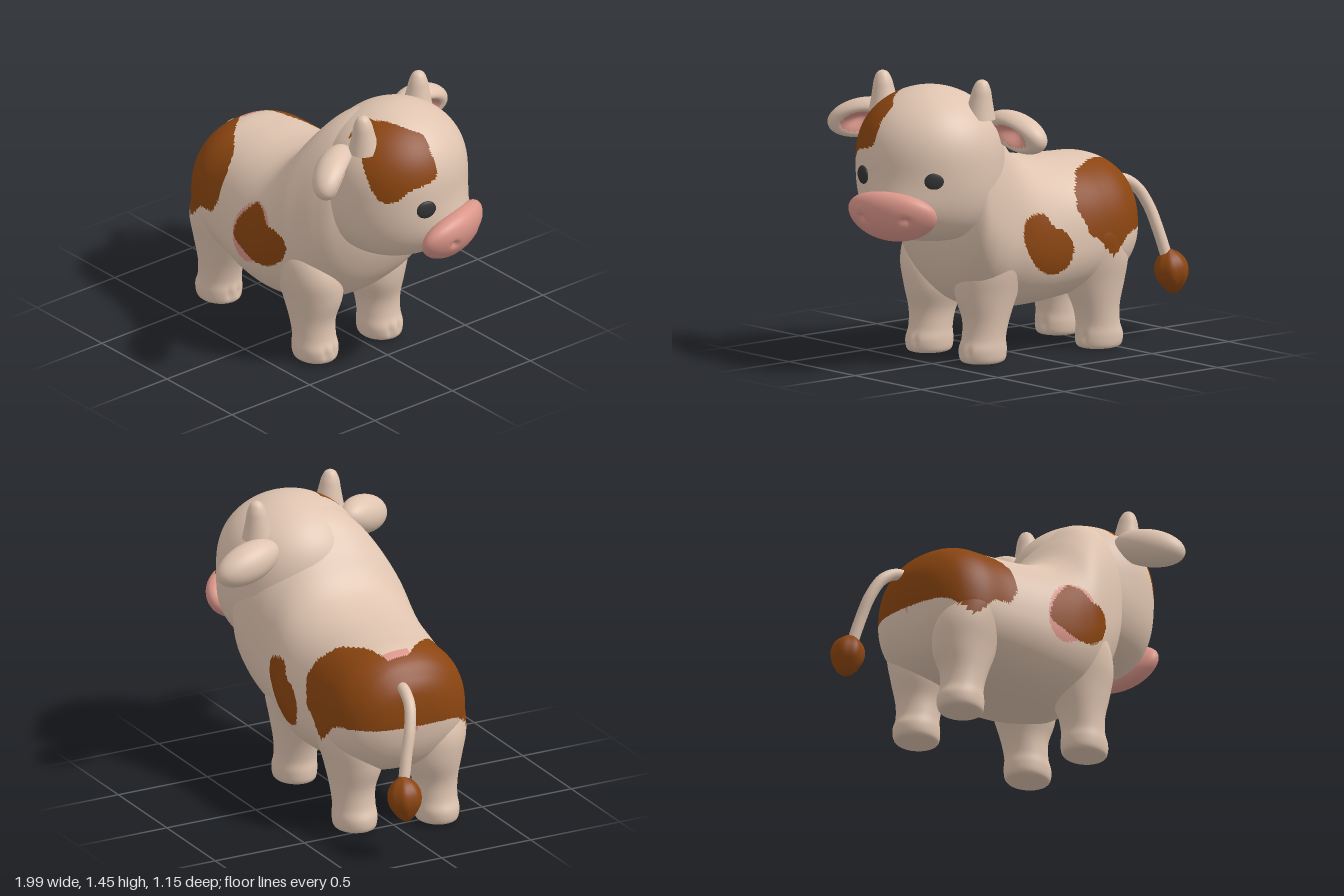
import * as THREE from 'three';
import { mergeVertices } from 'three/addons/utils/BufferGeometryUtils.js';

const flat = (name, color) => Object.assign(new THREE.MeshStandardMaterial({ color }), { name });
const cream = flat('cream hide', 0xdfc4b0);
const brown = flat('brown patch', 0x8b4510);
const pink = flat('pink skin', 0xdb968a);
const dark = flat('dark eye', 0x333333);
const palette = [cream, brown, pink];

const HEAD_YAW = 0.36, HEAD_X = 0.53, HEAD_Z = -0.02;

// Smooth curve through rows of numbers, sampled `steps` times per gap
function smoothRows(rows, steps) {
  const out = [], row = (i) => rows[Math.min(Math.max(i, 0), rows.length - 1)];
  for (let k = 0; k <= (rows.length - 1) * steps; k++) {
    const i = Math.floor(k / steps), t = k / steps - i;
    out.push(row(i).map((b, n) => {
      const a = row(i - 1)[n], c = row(i + 1)[n], d = row(i + 2)[n];
      return b + 0.5 * t * (c - a + t * (2 * a - 5 * b + 4 * c - d + t * (3 * (b - c) + d - a)));
    }));
  }
  return out;
}

// Closed skin over rings; place(row, angle) gives each point
function loft(rows, steps, seg, place) {
  const rings = smoothRows(rows, steps), pos = [], idx = [];
  rings.forEach((r) => {
    for (let j = 0; j < seg; j++) pos.push(...place(r, (j / seg) * Math.PI * 2));
  });
  for (let i = 0; i < rings.length - 1; i++) {
    for (let j = 0; j < seg; j++) {
      const a = i * seg + j, d = i * seg + ((j + 1) % seg);
      idx.push(a, a + seg, d, a + seg, d + seg, d);
    }
  }
  // end caps
  const last = (rings.length - 1) * seg;
  for (let j = 1; j < seg - 1; j++) idx.push(0, j, j + 1, last, last + j + 1, last + j);
  const g = new THREE.BufferGeometry();
  g.setAttribute('position', new THREE.Float32BufferAttribute(pos, 3));
  g.setIndex(idx);
  g.computeVertexNormals();
  return g;
}

// Unit sphere with every vertex moved by a rule
function blob(w, h, rule) {
  let g = new THREE.SphereGeometry(1, w, h);
  g.deleteAttribute('uv');
  g.deleteAttribute('normal');
  const p = g.attributes.position, v = new THREE.Vector3();
  for (let i = 0; i < p.count; i++) {
    rule(v.fromBufferAttribute(p, i));
    p.setXYZ(i, v.x, v.y, v.z);
  }
  g = mergeVertices(g, 1e-5);
  g.computeVertexNormals();
  return g;
}

// Sort faces into colour groups; rule(centre) gives the palette number
function paint(g, rule) {
  const sorted = [[], [], []], p = g.attributes.position, ix = g.index.array;
  const c = new THREE.Vector3(), v = new THREE.Vector3();
  for (let i = 0; i < ix.length; i += 3) {
    c.set(0, 0, 0);
    for (let k = 0; k < 3; k++) c.add(v.fromBufferAttribute(p, ix[i + k]));
    sorted[rule(c.divideScalar(3))].push(ix[i], ix[i + 1], ix[i + 2]);
  }
  g.setIndex(sorted.flat());
  let start = 0;
  sorted.forEach((s, m) => { g.addGroup(start, s.length, m); start += s.length; });
  return g;
}

const outline = (pts) => new THREE.CatmullRomCurve3(
  pts.map(([a, b]) => new THREE.Vector3(a, b, 0)), true).getPoints(70);
function inside(poly, a, b) {
  let hit = false;
  poly.forEach((p, i) => {
    const q = poly[(i + 1) % poly.length];
    if ((p.y > b) !== (q.y > b) && a < p.x + ((b - p.y) * (q.x - p.x)) / (q.y - p.y)) hit = !hit;
  });
  return hit;
}

// Patch outlines: flanks in x,y and brow in z,y
const leftPatch = outline([[-.13, .57], [-.1, .67], [-.03, .76], [.02, .8], [.09, .79], [.14, .74],
  [.22, .72], [.26, .65], [.23, .57], [.15, .51], [.05, .5], [-.05, .53]]);
const rightPatch = outline([[.18, .64], [.16, .72], [.09, .745], [.03, .73], [0, .68], [-.09, .63],
  [-.13, .55], [-.1, .46], [-.02, .43], [.07, .46], [.14, .54]]);
const browPatch = outline([[.29, 1.21], [.29, 1.1], [.26, 1.04], [.2, 1.05], [.14, 1.1], [.05, 1.12],
  [0, 1.15], [-.01, 1.2], [0, 1.25], [-.01, 1.32], [.04, 1.35], [.1, 1.375], [.17, 1.36], [.24, 1.31]]);
// Front edge of the rump patch: angle around the body, x
const rumpEdge = [[-1.6, -.34], [.1, -.36], [.3, -.31], [.7, -.31], [.94, -.35], [1.17, -.45],
  [1.52, -.57], [1.84, -.57], [1.93, -.42], [2.11, -.28], [2.4, -.2], [2.63, -.18], [3, -.24],
  [3.2, -.3], [4.8, -.3]];

function hideColour({ x, y, z }) {
  let a = Math.atan2(y - .55, z - .03);
  if (a < -Math.PI / 2) a += Math.PI * 2;
  const i = rumpEdge.findIndex((e) => e[0] > a), [a0, x0] = rumpEdge[i - 1], [a1, x1] = rumpEdge[i];
  const edge = x0 + ((x1 - x0) * (a - a0)) / (a1 - a0);
  // one hanging lobe on each side of the rump
  const hem = .59 - .105 * Math.exp(-(((x + (z > 0 ? .56 : .39)) / .07) ** 2));
  if (x < edge && y > hem) return 1;
  if (a > 1.48 && a < 1.95 && x < -.53) return 2;
  if (z > .2) {
    if (inside(leftPatch, x, y)) return 1;
    if (Math.hypot((x - .01 - (y - .64) * .3) / .14, (y - .64) / .17) < 1) return 2;
  }
  return z < -.12 && inside(rightPatch, x, y) ? 1 : 0;
}

export function createModel() {
  const model = new THREE.Group();
  model.name = 'calf';
  const add = (name, geometry, material, parent = model) => {
    const m = new THREE.Mesh(geometry, material);
    m.name = name;
    parent.add(m);
    return m;
  };

  // Body and neck: x, bottom, top, z centre, half width
  const bodyRows = [[-.7, .64, .7, .02, .04], [-.69, .55, .77, .02, .14], [-.66, .45, .83, .03, .23],
    [-.6, .36, .9, .035, .308], [-.5, .3, .945, .033, .362], [-.35, .27, .955, .035, .38],
    [-.15, .24, .965, .06, .4], [0, .23, 1, .07, .41], [.1, .235, 1.07, .076, .408],
    [.2, .25, 1.2, .075, .4], [.3, .29, 1.315, .045, .39], [.4, .37, 1.37, .01, .382],
    [.48, .48, 1.36, -.015, .352], [.54, .63, 1.25, -.02, .25], [.56, .8, .95, -.02, .05]];
  const body = loft(bodyRows, 13, 160, ([x, lo, hi, zc, w], a) => {
    const s = Math.sin(a), c = Math.cos(a), mid = lo + (hi - lo) * .43;
    const k = 1 / Math.pow(Math.abs(s) ** 2.25 + Math.abs(c) ** 2.25, 1 / 2.25);
    return [x, mid + s * k * (s > 0 ? hi - mid : mid - lo), zc + c * k * w];
  });
  add('body', paint(body, hideColour), palette);

  // Legs: y, lean, outward shift, half depth, half width; toe grooves pressed into the foot
  const legRows = [[0, 0, 0, .04, .04], [.003, 0, 0, .095, .085], [.02, 0, 0, .12, .104],
    [.07, 0, 0, .125, .11], [.13, -.008, 0, .112, .106], [.22, -.02, 0, .123, .113],
    [.34, -.03, -.008, .165, .142], [.47, -.045, .012, .185, .15], [.6, -.08, .04, .165, .125],
    [.7, -.08, .05, .08, .06]];
  const legs = [['frontLeftLeg', .277, .28, 1, 1], ['frontRightLeg', .282, -.13, 1, -1],
    ['rearLeftLeg', -.522, .23, -1, 1], ['rearRightLeg', -.43, -.18, -1, -1]];
  for (const [name, x, z, lean, side] of legs) {
    const leg = loft(legRows, 5, 56, ([y, dx, dz, rx, rz], a) => {
      const off = Math.abs(Math.atan2(Math.sin(a), Math.cos(a))) - .27;
      const k = 1 - .13 * Math.exp(-((off / .08) ** 2) - ((y - .06) / .03) ** 2);
      return [x + dx * lean + Math.cos(a) * rx * k, Math.max(y, 0), z + dz * side + Math.sin(a) * rz * k];
    });
    add(name, paint(leg, hideColour), palette);
  }

  // Tail and tuft
  const tailPath = new THREE.CatmullRomCurve3([[-.62, .79, -.03], [-.7, .79, -.045], [-.78, .74, -.06],
    [-.835, .64, -.09], [-.865, .52, -.125], [-.893, .39, -.155]].map((p) => new THREE.Vector3(...p)));
  add('tail', new THREE.TubeGeometry(tailPath, 40, .029, 16), cream);
  const tuftRows = [[-.115, .004], [-.09, .04], [-.03, .078], [.03, .082], [.08, .058], [.115, .015]];
  const tuft = loft(tuftRows, 5, 48, ([y, r], a) => {
    const k = r * (1 + .03 * Math.cos(a * 7));
    return [Math.cos(a) * k, y, Math.sin(a) * k];
  });
  const tuftMesh = add('tailTuft', tuft, brown);
  tuftMesh.position.set(-.918, .315, -.163);
  tuftMesh.rotation.z = -.18;

  // Head: round above, fuller at the jaw, with a low bulge behind the muzzle
  const head = blob(160, 100, (v) => {
    const p = 2.48 - .45 * v.y;
    const k = 1 / Math.pow(Math.hypot(v.x, v.z) ** p + Math.abs(v.y) ** p, 1 / p);
    v.multiplyScalar(k).multiply(new THREE.Vector3(.36, .383, .37));
    if (v.x > 0) v.x *= 1 + .14 * Math.exp(-(((v.y + .22) / .12) ** 2) - (v.z / .22) ** 2);
  });
  head.rotateY(HEAD_YAW).translate(HEAD_X, 1.022, HEAD_Z);
  add('head', paint(head, (c) => (c.x > .5 && inside(browPatch, c.z, c.y) ? 1 : 0)), palette);

  const face = new THREE.Group();
  face.name = 'face';
  face.position.set(HEAD_X, 0, HEAD_Z);
  face.rotation.y = HEAD_YAW;
  model.add(face);

  // Muzzle: slanted pad curved around the face, with two dented nostrils
  const muzzle = blob(72, 48, (v) => {
    const dent = v.x > 0 ? Math.exp(-(((Math.abs(v.z) - .5) / .07) ** 2) - ((v.y - .2) / .13) ** 2) : 0;
    v.set((v.x - dent * .25) * .088 - .03 * v.z * v.z, v.y * .138, v.z * .243);
  });
  const muzzleMesh = add('muzzle', muzzle, pink, face);
  muzzleMesh.position.set(.36, .8, .027);
  muzzleMesh.rotation.z = -.48;

  // Paired eyes, horns and ears
  const ear = paint(blob(52, 36, (v) => {
    const r = Math.hypot(v.y, v.z);
    if (v.x > 0) v.x -= 1.1 * Math.exp(-((r / .5) ** 2));
    v.set(v.x * .095, v.y * .098, v.z * .185);
  }), (c) => (c.x > -.03 && Math.hypot(c.y / .098, c.z / .185) < .56 ? 2 : 0));
  ear.rotateZ(-.4);
  const hornProfile = new THREE.SplineCurve([[.078, 0], [.066, .05], [.055, .1], [.045, .145],
    [.027, .182], [0, .195]].map((p) => new THREE.Vector2(...p))).getPoints(24);
  const horn = new THREE.LatheGeometry(hornProfile, 32);
  for (const side of [1, -1]) {
    const label = side > 0 ? 'left' : 'right';
    const eye = add(label + 'Eye', new THREE.SphereGeometry(1, 32, 20), dark, face);
    eye.scale.set(.015, .046, .052);
    eye.position.set(.301, .985, side * .202 + .011);
    eye.rotation.y = -side * .62;

    const hornMesh = add(label + 'Horn', horn, cream, face);
    hornMesh.position.set(-.022, 1.26, side * .268);
    hornMesh.rotation.x = side * .07;

    const earMesh = add(label + 'Ear', ear, palette, face);
    earMesh.position.set(-.1, 1.19, side * .433);
    earMesh.rotation.set(side * .25, side * .2, 0);
  }
  return model;
}
